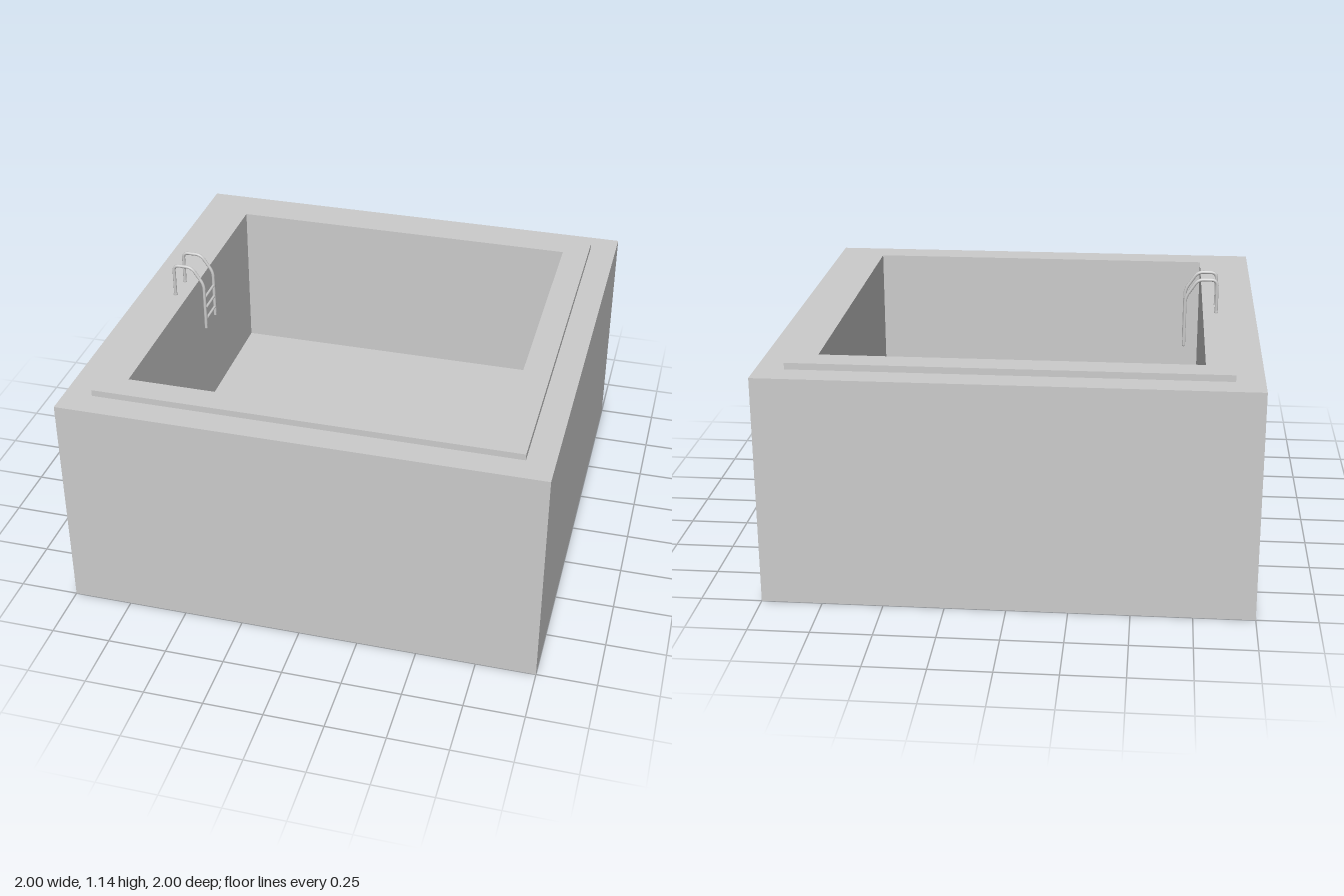
import * as THREE from 'three';

const grey = new THREE.MeshStandardMaterial({ color: 0xcccccc });
const flatGrey = new THREE.MeshStandardMaterial({ color: 0xcccccc, flatShading: true });

function add(parent, name, geometry, material = grey) {
  const mesh = new THREE.Mesh(geometry, material);
  mesh.name = name;
  parent.add(mesh);
  return mesh;
}

// Four-sided solid of revolution: profile is [half width, height] pairs
function squareLathe(profile) {
  const points = profile.map(([w, y]) => new THREE.Vector2(w * Math.SQRT2, y));
  const geometry = new THREE.LatheGeometry(points, 4).rotateY(Math.PI / 4).toNonIndexed();
  geometry.computeVertexNormals();
  return geometry;
}

// Polyline path with rounded corners
function roundedPath(points, radius) {
  const path = new THREE.CurvePath();
  let from = points[0];
  for (let i = 1; i < points.length - 1; i++) {
    const p = points[i];
    const toward = (q) => p.clone().add(q.clone().sub(p).setLength(radius));
    const a = toward(points[i - 1]);
    const b = toward(points[i + 1]);
    path.add(new THREE.LineCurve3(from, a));
    path.add(new THREE.QuadraticBezierCurve3(a, p, b));
    from = b;
  }
  path.add(new THREE.LineCurve3(from, points[points.length - 1]));
  return path;
}

export function createModel() {
  const pool = new THREE.Group();
  pool.name = 'pool';

  // Block with the sunken basin
  const body = [[0, 0], [1, 0], [1, 0.962], [0.77, 0.962], [0.77, 0.32], [0, 0.32]];
  add(pool, 'basin', squareLathe(body), flatGrey);

  // Raised border around the opening
  const border = [[0.885, 0.962], [0.885, 0.989], [0.77, 0.989], [0.77, 0.962]];
  add(pool, 'coping', squareLathe(border), flatGrey);

  // Ladder: two bent handrails joined by rungs
  const ladder = new THREE.Group();
  ladder.name = 'ladder';
  pool.add(ladder);
  const tube = 0.007, halfWidth = 0.061, innerX = -0.692;
  const bends = [[-0.827, 0.985], [-0.827, 1.135], [-0.745, 1.135], [innerX, 1.055], [innerX, 0.84]];

  for (const side of [-1, 1]) {
    const points = bends.map(([x, y]) => new THREE.Vector3(x, y, side * halfWidth));
    add(ladder, 'handrail', new THREE.TubeGeometry(roundedPath(points, 0.025), 80, tube, 10));
    add(ladder, 'railEnd', new THREE.SphereGeometry(tube, 10, 6)).position.copy(points[4]);
    add(ladder, 'railFoot', new THREE.CylinderGeometry(0.009, 0.009, 0.008, 12))
      .position.set(-0.827, 0.992, side * halfWidth);
  }

  for (const y of [0.88, 0.935, 0.99]) {
    const rung = new THREE.CylinderGeometry(0.006, 0.006, halfWidth * 2, 10).rotateX(Math.PI / 2);
    add(ladder, 'rung', rung).position.set(innerX, y, 0);
  }

  return pool;
}
